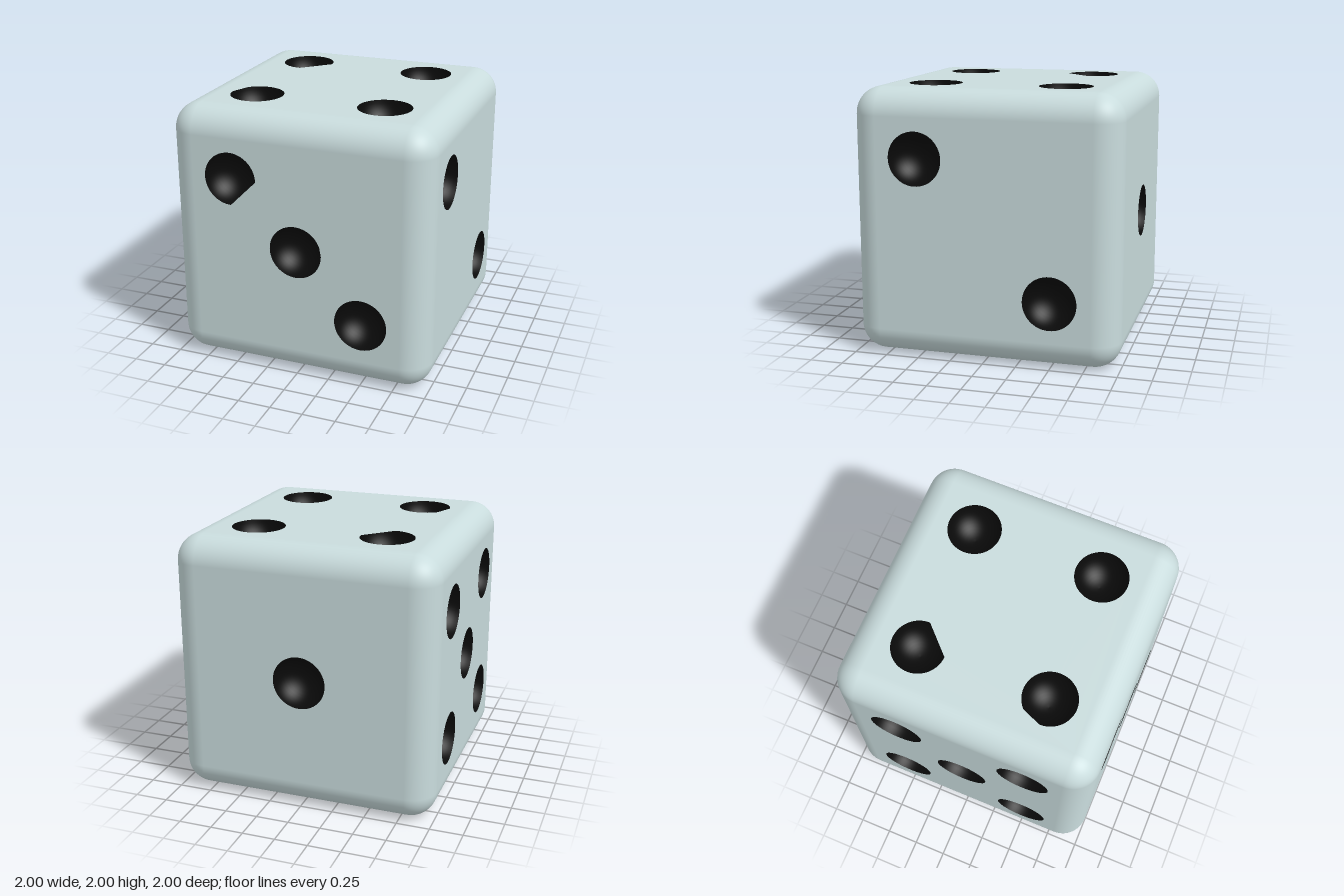
import * as THREE from 'three';
import { RoundedBoxGeometry } from 'three/addons/geometries/RoundedBoxGeometry.js';

const EDGE = 0.2;   // radius of the rounded edges
const PIP = 0.2;    // radius of a pip
const H = Math.PI / 2;

// Each face: name, rotation, and pips as [x, y, trimStart, trimEnd].
// A trimmed pip has a straight chord between the two angles.
const FACES = [
  ['front', [0, 0, 0], [[-0.5, 0.5, -H, 0], [0, 0, 0, 0.35], [0.5, -0.5]]],
  ['right', [0, H, 0], [[-0.5, 0.5], [0.5, -0.5]]],
  ['back', [0, Math.PI, 0], [[0, 0]]],
  ['left', [0, -H, 0], [[-0.5, 0.5], [0.5, 0.5], [0, 0], [-0.5, -0.5], [0.5, -0.5]]],
  ['top', [-H, 0, 0], [[-0.5, 0.5, -H, 0], [0.5, 0.5], [-0.5, -0.5, 1.5 * H, 2 * H], [0.5, -0.5]]],
  ['bottom', [H, 0, 0], [[-0.5, 0.5, 0, H], [0, 0.5], [0.5, 0.5], [-0.5, -0.5, 0, H], [0, -0.5], [0.5, -0.5]]],
];

// Rounded edges and corners only: drop the flat middle of every side
function roundedFrame() {
  const box = new RoundedBoxGeometry(2, 2, 2, 8, EDGE);
  const pos = box.attributes.position, nor = box.attributes.normal;
  const p = [], n = [];
  for (let i = 0; i < pos.count; i += 3) {
    const ids = [i, i + 1, i + 2];
    const flat = [0, 1, 2].some(k => ids.every(j => Math.abs(pos.getComponent(j, k)) > 0.9999));
    if (flat) continue;
    for (const j of ids) {
      p.push(pos.getX(j), pos.getY(j), pos.getZ(j));
      n.push(nor.getX(j), nor.getY(j), nor.getZ(j));
    }
  }
  const geo = new THREE.BufferGeometry();
  geo.setAttribute('position', new THREE.Float32BufferAttribute(p, 3));
  geo.setAttribute('normal', new THREE.Float32BufferAttribute(n, 3));
  return geo;
}

// Flat side with a round hole for every pip
function sidePanel(pips) {
  const s = 1 - EDGE;
  const shape = new THREE.Shape([
    new THREE.Vector2(-s, -s), new THREE.Vector2(s, -s),
    new THREE.Vector2(s, s), new THREE.Vector2(-s, s),
  ]);
  for (const [x, y, start = 0, end = 0] of pips) {
    const hole = new THREE.Path();
    hole.absarc(x, y, PIP, end, start + 2 * Math.PI, false);
    shape.holes.push(hole);
  }
  return new THREE.ShapeGeometry(shape, 32);
}

// Hollow bowl, open towards +z, seen from the inside
function pipBowl() {
  const profile = [];
  for (let i = 0; i <= 12; i++) {
    const a = (i / 12) * H;
    profile.push(new THREE.Vector2(PIP * Math.cos(a), -PIP * Math.sin(a)));
  }
  return new THREE.LatheGeometry(profile, 64).rotateX(H);
}

export function createModel() {
  const bodyMat = new THREE.MeshStandardMaterial({ color: 0xc9dcdd });
  const pipMat = new THREE.MeshStandardMaterial({ color: 0x0a0a0a });
  const bowl = pipBowl();

  const die = new THREE.Group();
  die.name = 'die';
  die.position.y = 1;

  const frame = new THREE.Mesh(roundedFrame(), bodyMat);
  frame.name = 'roundedEdges';
  die.add(frame);

  for (const [name, rotation, pips] of FACES) {
    const side = new THREE.Group();
    side.name = name + 'Side';
    side.rotation.set(...rotation);
    const panel = new THREE.Mesh(sidePanel(pips), bodyMat);
    panel.name = name + 'Panel';
    panel.position.z = 1;
    side.add(panel);
    for (const [x, y] of pips) {
      const pip = new THREE.Mesh(bowl, pipMat);
      pip.name = 'pip';
      pip.position.set(x, y, 1);
      side.add(pip);
    }
    die.add(side);
  }

  const model = new THREE.Group();
  model.add(die);
  return model;
}
